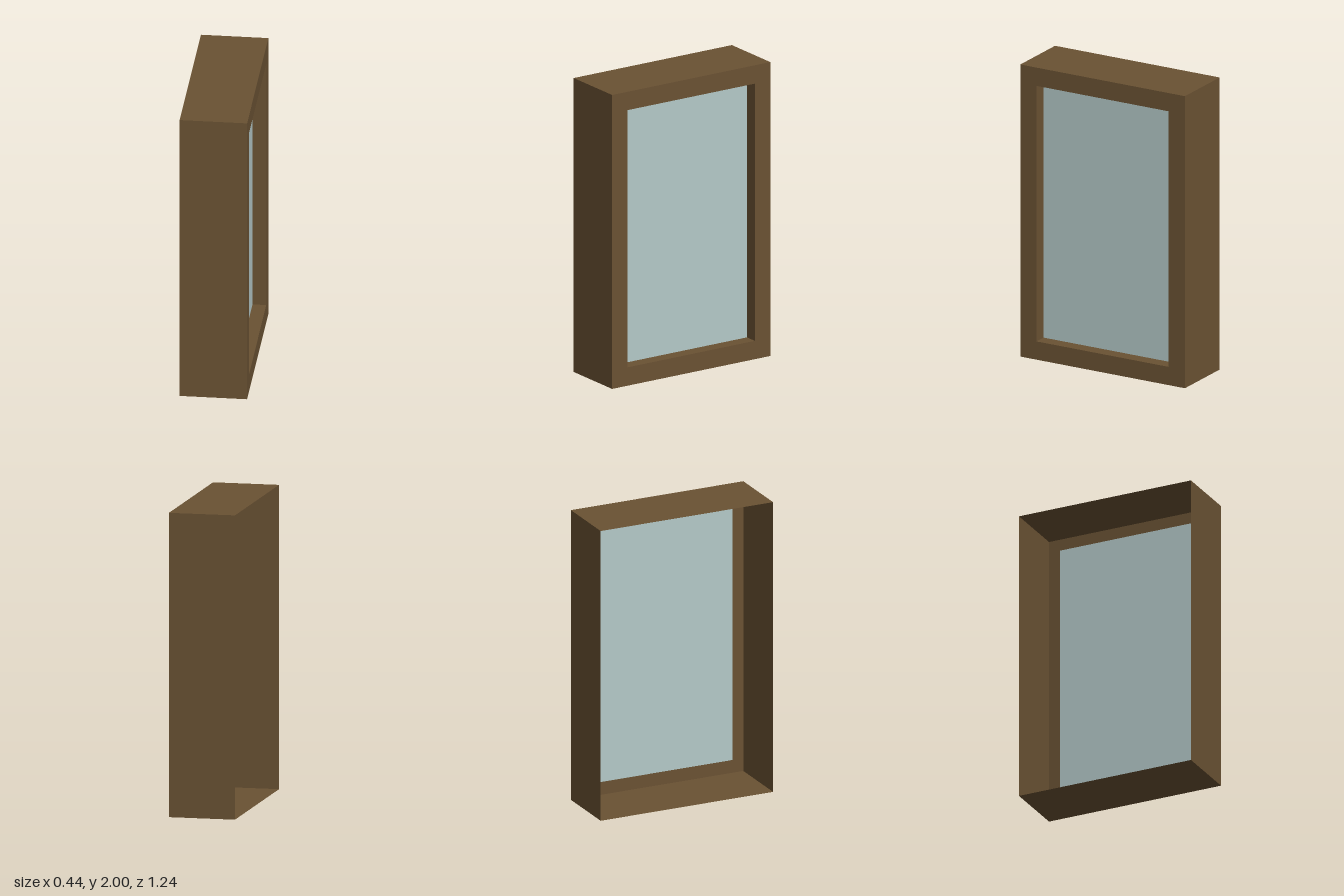
import * as THREE from 'three';

const WIDTH = 1.244, HEIGHT = 2, FRONT = 0.22, BACK = -0.22, GLASS_X = 0.13;
const OPEN_W = 1.0, OPEN_H = 1.75;

const wood = new THREE.MeshStandardMaterial({ color: 0x6a5233, side: THREE.DoubleSide });
const glass = new THREE.MeshStandardMaterial({ color: 0xb4c9c8, side: THREE.DoubleSide });

function addMesh(parent, name, geometry, material) {
  const mesh = new THREE.Mesh(geometry, material);
  mesh.name = name;
  parent.add(mesh);
  return mesh;
}

// Four thin panels around a rectangle, running from x0 to x1; dir = 1 faces outward, -1 inward
function addSleeve(parent, name, w, h, x0, x1, dir) {
  const group = new THREE.Group();
  group.name = name;
  const depth = x1 - x0, cx = (x0 + x1) / 2;
  for (const s of [1, -1]) {
    const side = addMesh(group, s > 0 ? 'frontPanel' : 'backPanel', new THREE.PlaneGeometry(depth, h), wood);
    side.position.set(cx, 0, s * w / 2);
    side.rotation.y = s * dir > 0 ? 0 : Math.PI;
    const flat = addMesh(group, s > 0 ? 'topPanel' : 'bottomPanel', new THREE.PlaneGeometry(depth, w), wood);
    flat.position.set(cx, s * h / 2, 0);
    flat.rotation.x = -s * dir * Math.PI / 2;
  }
  parent.add(group);
}

function rectangle(target, w, h) {
  target.moveTo(-w / 2, -h / 2);
  target.lineTo(w / 2, -h / 2);
  target.lineTo(w / 2, h / 2);
  target.lineTo(-w / 2, h / 2);
  target.closePath();
  return target;
}

export function createModel() {
  const model = new THREE.Group();
  model.name = 'window';
  const body = new THREE.Group();
  body.name = 'windowBody';
  body.position.y = HEIGHT / 2;
  model.add(body);

  // Outer casing, open on the -x side
  addSleeve(body, 'casing', WIDTH, HEIGHT, BACK, FRONT, 1);

  // Face frame around the opening
  const shape = rectangle(new THREE.Shape(), WIDTH, HEIGHT);
  shape.holes.push(rectangle(new THREE.Path(), OPEN_W, OPEN_H));
  const frame = addMesh(body, 'faceFrame', new THREE.ShapeGeometry(shape), wood);
  frame.rotation.y = Math.PI / 2;
  frame.position.x = FRONT;

  // Reveal stepping in to the glass
  addSleeve(body, 'reveal', OPEN_W, OPEN_H, GLASS_X, FRONT, -1);

  // Recessed pane
  const pane = addMesh(body, 'glassPane', new THREE.PlaneGeometry(OPEN_W, OPEN_H), glass);
  pane.rotation.y = Math.PI / 2;
  pane.position.x = GLASS_X;

  return model;
}
